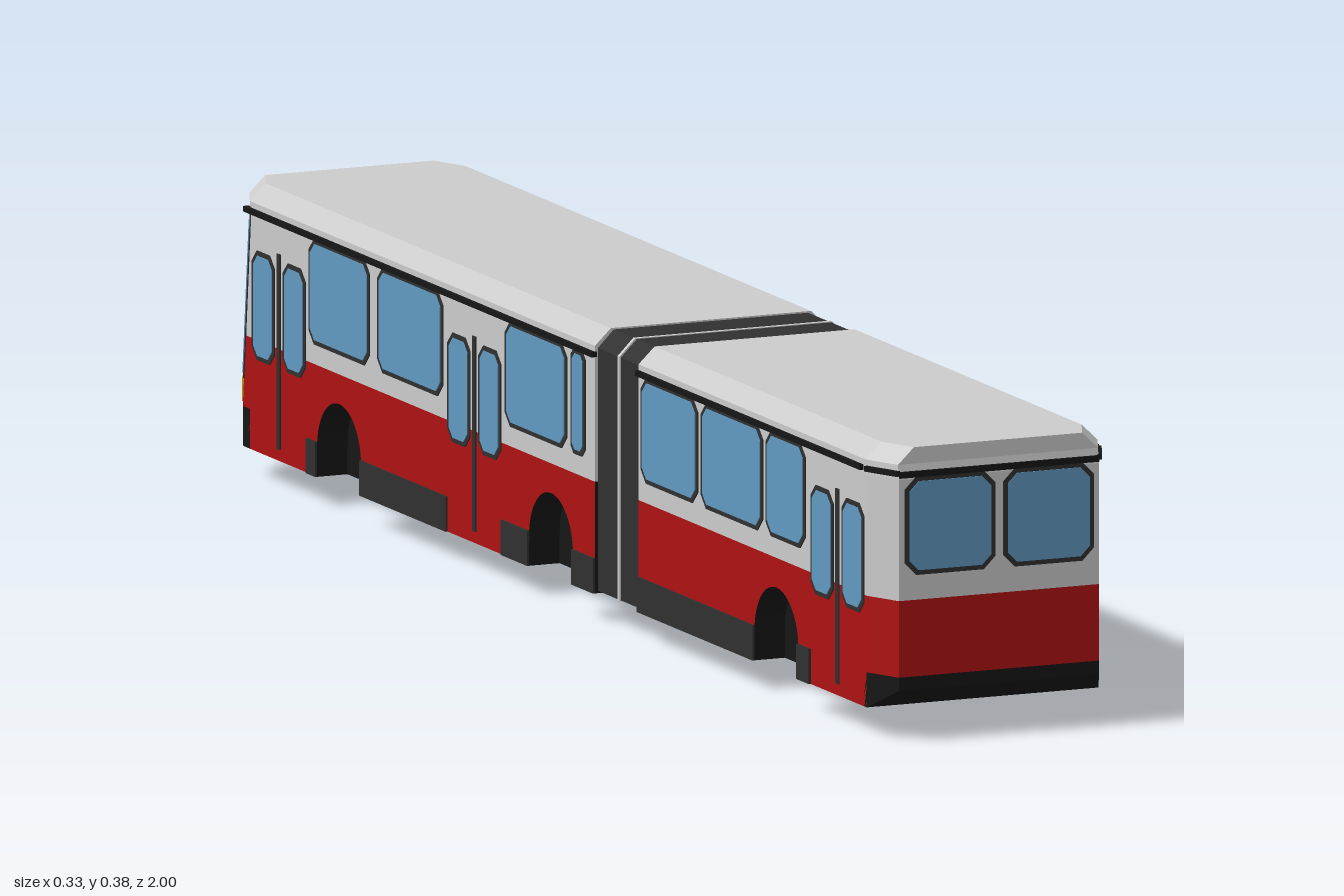
import * as THREE from 'three';

const mat = (color) => new THREE.MeshStandardMaterial({ color, flatShading: true });
const GREY = mat(0xcccccc), RED = mat(0xae1212), GLASS = mat(0x6098c0);
const DARK = mat(0x303030), BLACK = mat(0x161616), AMBER = mat(0xd8a818);

const W = 0.16, FLOOR = 0.037, BELT = 0.18, LEAN = 0.097;

function add(parent, name, geometry, material, x = 0, y = 0, z = 0, ry = 0) {
  const mesh = new THREE.Mesh(geometry, material);
  mesh.name = name;
  mesh.position.set(x, y, z);
  mesh.rotation.y = ry;
  parent.add(mesh);
  return mesh;
}
const box = (parent, name, material, w, h, d, x, y, z, ry = 0) =>
  add(parent, name, new THREE.BoxGeometry(w, h, d), material, x, y, z, ry);

// Plan outline of one end of the coach, with both outer corners cut off
function ring(y, zIn, zEnd, w = W, cx = 0.022, cz = 0.05) {
  const s = Math.sign(zEnd), zs = zEnd - s * cz;
  const p = [[w, zIn], [w, zs], [w - cx, zEnd], [cx - w, zEnd], [-w, zs], [-w, zIn]];
  if (s < 0) p.reverse();
  return p.map(([x, z]) => [x, y, z]);
}

// Skin stacked rings and close the top and bottom
function loft(rings) {
  const v = [], tri = (...pts) => pts.forEach((p) => v.push(...p));
  const n = rings[0].length, top = rings[rings.length - 1], low = rings[0];
  for (let k = 0; k + 1 < rings.length; k++) {
    for (let i = 0; i < n; i++) {
      const j = (i + 1) % n, a = rings[k], b = rings[k + 1];
      tri(a[i], b[i], a[j]);
      tri(a[j], b[i], b[j]);
    }
  }
  for (let i = 1; i + 1 < n; i++) {
    tri(low[0], low[i], low[i + 1]);
    tri(top[0], top[i + 1], top[i]);
  }
  const g = new THREE.BufferGeometry();
  g.setAttribute('position', new THREE.Float32BufferAttribute(v, 3));
  g.computeVertexNormals();
  return g;
}

// Rectangle with cut corners, as a thin plate facing +z
function plate(w, h, c, depth) {
  const a = w / 2, b = h / 2;
  const pts = [[c - a, -b], [a - c, -b], [a, c - b], [a, b - c], [a - c, b], [c - a, b], [-a, b - c], [-a, c - b]];
  const shape = new THREE.Shape(pts.map(([x, y]) => new THREE.Vector2(x, y)));
  return new THREE.ExtrudeGeometry(shape, { depth, bevelEnabled: false });
}

function pane(parent, name, w, h, x, y, z, ry = 0, inner = GLASS, rim = 0.006) {
  const g = new THREE.Group();
  g.name = name;
  g.position.set(x, y, z);
  g.rotation.set(0, ry, 0);
  const c = Math.min(0.016, w * 0.22, h * 0.22);
  add(g, 'frame', plate(w, h, c, 0.0015), DARK);
  add(g, 'pane', plate(w - 2 * rim, h - 2 * rim, c * 0.8, 0.0025), inner);
  parent.add(g);
  return g;
}

// Lower side wall with open wheel arches
function wallGeometry(zFront, zBack, arches) {
  const s = new THREE.Shape(), r = 0.067, cy = 0.075;
  s.moveTo(-zFront, FLOOR);
  for (const z of arches) {
    s.lineTo(-z - r, FLOOR);
    s.lineTo(-z - r, cy);
    s.absarc(-z, cy, r, Math.PI, 0, true);
    s.lineTo(-z + r, FLOOR);
  }
  s.lineTo(-zBack, FLOOR);
  s.lineTo(-zBack, BELT);
  s.lineTo(-zFront, BELT);
  return new THREE.ExtrudeGeometry(s, { depth: 0.043, bevelEnabled: false, curveSegments: 16 });
}

function buildSection(root, o) {
  const g = new THREE.Group(), s = Math.sign(o.zEnd);
  g.name = o.name;
  root.add(g);
  const zAt = (y) => o.zEnd + (s < 0 ? Math.max(0, y - 0.082) * LEAN : 0);
  const zIn = o.zEnd - s * 0.07, bump = o.bumperTop;
  // End cap: bumper, red band, grey upper body and roof
  add(g, 'bumper', loft([ring(FLOOR, zIn, o.zEnd - s * 0.05, W, 0, 0), ring(0.065, zIn, o.zEnd), ring(bump, zIn, zAt(bump))]), BLACK);
  add(g, 'lowerEnd', loft([ring(bump, zIn, zAt(bump)), ring(BELT, zIn, zAt(BELT))]), RED);
  add(g, 'upperBody', loft([ring(BELT, o.zJoint, zAt(BELT)), ring(0.335, o.zJoint, zAt(0.335)),
    ring(0.354, o.zJoint, o.roofEnd), ring(0.375, o.zJoint, o.roofEnd, 0.138)]), GREY);
  // Chassis between the arches
  const len = Math.abs(zIn - o.zJoint);
  box(g, 'chassis', BLACK, 0.236, BELT - FLOOR, len, 0, (BELT + FLOOR) / 2, (zIn + o.zJoint) / 2);
  const zSide = o.zEnd - s * (s < 0 ? 0.06 : 0.05);
  const wall = wallGeometry(Math.max(zSide, o.zJoint), Math.min(zSide, o.zJoint), o.arches);
  for (const m of [1, -1]) {
    const ry = m * Math.PI / 2;
    add(g, 'lowerWall', wall, [RED, BLACK], m > 0 ? 0.117 : -W, 0, 0, Math.PI / 2);
    for (const [a, b] of o.skirts) box(g, 'skirt', DARK, 0.004, 0.045, a - b, m * 0.161, 0.0595, (a + b) / 2);
    for (const [a, b] of o.windows) pane(g, 'sideWindow', a - b, 0.135, m * W, 0.273, (a + b) / 2, ry);
    for (const z of o.doors) {
      for (const d of [-1, 1]) pane(g, 'doorWindow', 0.068, 0.14, m * W, 0.225, z + d * 0.047, ry);
      box(g, 'doorSeam', DARK, 0.004, 0.25, 0.01, m * W, 0.177, z);
    }
    const zs = o.zEnd - s * 0.06;
    box(g, 'gutter', BLACK, 0.008, 0.007, Math.abs(zs - o.zJoint), m * 0.161, 0.343, (zs + o.zJoint) / 2);
  }
  return g;
}

export function createModel() {
  const root = new THREE.Group();
  root.name = 'articulatedBus';

  const front = buildSection(root, {
    name: 'frontSection', zEnd: 1, zJoint: 0.255, roofEnd: 0.997, bumperTop: 0.082,
    arches: [0.675], doors: [0.863],
    windows: [[0.765, 0.645], [0.635, 0.447], [0.437, 0.264]],
    skirts: [[0.78, 0.742], [0.608, 0.255]],
  });
  const rear = buildSection(root, {
    name: 'rearSection', zEnd: -1, zJoint: 0.122, roofEnd: -0.98, bumperTop: 0.088,
    arches: [-0.012, -0.658], doors: [-0.244, -0.84],
    windows: [[0.094, 0.05], [0.038, -0.15], [-0.34, -0.539], [-0.563, -0.748]],
    skirts: [[0.122, 0.055], [-0.079, -0.16], [-0.327, -0.591], [-0.725, -0.753]],
  });

  // Front end windows and gutter
  for (const m of [1, -1]) {
    pane(front, 'endWindow', 0.125, 0.126, m * 0.068, 0.275, 1);
    box(front, 'cornerGutter', BLACK, 0.006, 0.007, 0.055, m * 0.15, 0.343, 0.975, -m * 0.415);
  }
  box(front, 'endGutter', BLACK, 0.276, 0.008, 0.006, 0, 0.341, 0.999);

  // Rear end face, leaning inwards towards the roof
  const face = new THREE.Group();
  face.name = 'rearFace';
  face.position.set(0, 0.082, -1);
  face.rotation.set(LEAN, Math.PI, 0);
  rear.add(face);
  for (const m of [1, -1]) {
    pane(face, 'endWindow', 0.13, 0.135, m * 0.0675, 0.18, 0);
    box(face, 'headlight', GREY, 0.034, 0.022, 0.005, m * 0.103, 0.02, 0);
    box(face, 'indicator', AMBER, 0.012, 0.03, 0.005, m * 0.13, 0.02, 0);
    const ry = m * Math.atan2(0.05, -0.022);
    const side = pane(rear, 'cornerWindow', 0.032, 0.21, m * 0.149, 0.226, -0.961, ry);
    side.rotation.x = LEAN;
    box(rear, 'cornerIndicator', AMBER, 0.014, 0.03, 0.004, m * 0.141, 0.102, -0.991, ry);
  }
  pane(rear, 'signPanel', 0.15, 0.026, 0, 0.352, -0.98, Math.PI, GREY, 0.005);
  box(rear, 'plate', GREY, 0.075, 0.02, 0.004, 0, 0.074, -1);

  // Bellows joint with a light centre hoop
  const hoop = (w, h, depth) => {
    const pts = [[-w, 0.04], [w, 0.04], [w, h - 0.022], [w - 0.022, h], [0.022 - w, h], [-w, h - 0.022]];
    return new THREE.ExtrudeGeometry(new THREE.Shape(pts.map((p) => new THREE.Vector2(...p))), { depth, bevelEnabled: false });
  };
  add(root, 'bellows', hoop(0.156, 0.373, 0.133), DARK, 0, 0, 0.122);
  add(root, 'bellowsHoop', hoop(0.158, 0.375, 0.006), GREY, 0, -0.001, 0.186);

  // Wheel: tyre, rim and hub
  const wheel = new THREE.Group();
  wheel.name = 'wheel';
  wheel.position.set(0.117, 0.0625, 0.675);
  wheel.rotation.z = -Math.PI / 2;
  root.add(wheel);
  const lathe = (pts) => new THREE.LatheGeometry(pts.map((p) => new THREE.Vector2(...p)), 24);
  add(wheel, 'tyre', lathe([[0, 0], [0.056, 0], [0.0625, 0.006], [0.0625, 0.037], [0.056, 0.043], [0.04, 0.043], [0.037, 0.036], [0, 0.036]]), BLACK);
  add(wheel, 'rim', lathe([[0.039, 0.036], [0.039, 0.0425], [0.034, 0.0425], [0.026, 0.038], [0, 0.038]]), GREY);
  add(wheel, 'hub', new THREE.CylinderGeometry(0.016, 0.02, 0.006, 16), GREY, 0, 0.04, 0);
  return root;
}
